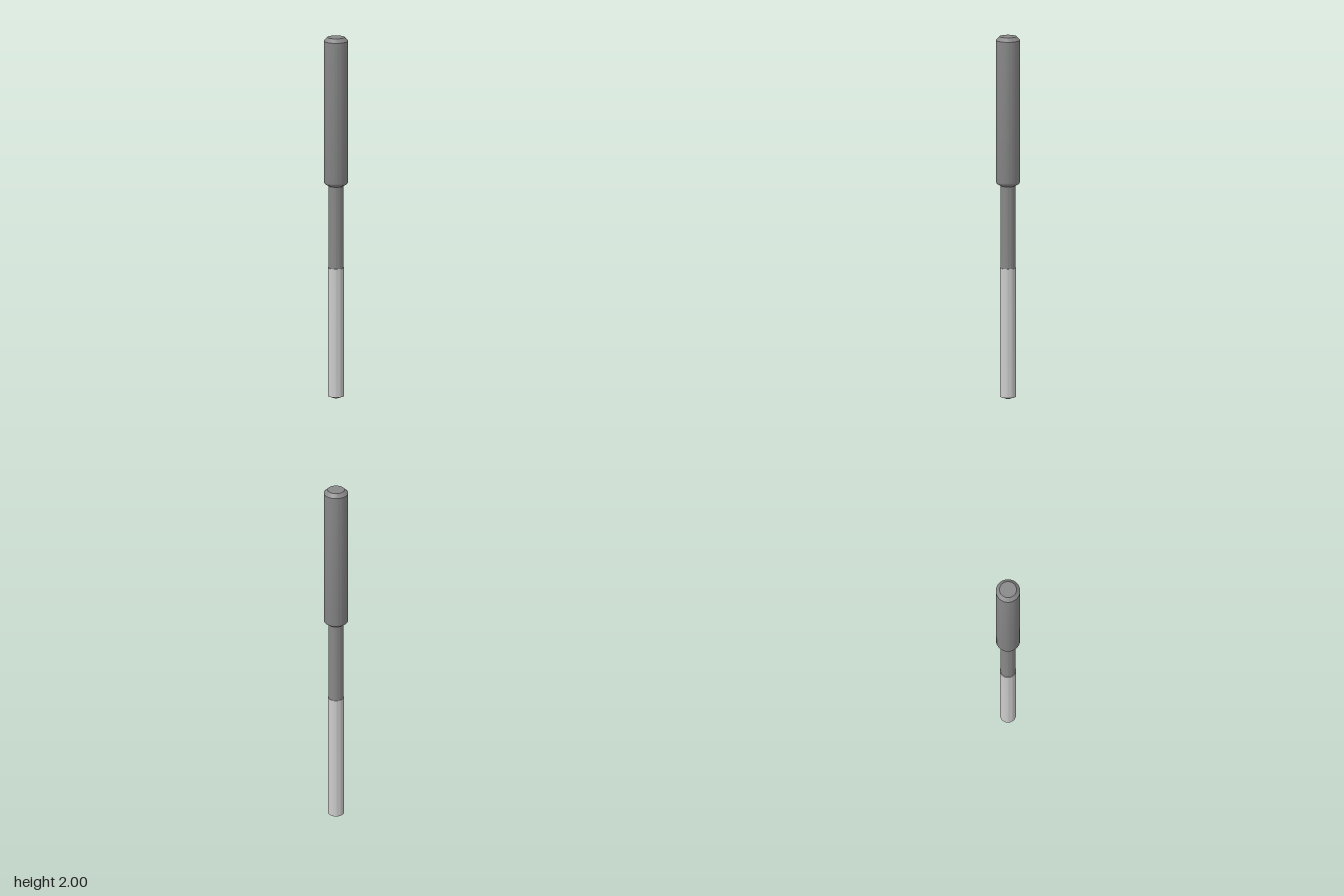
import * as THREE from 'three';
import { toCreasedNormals } from 'three/addons/utils/BufferGeometryUtils.js';

const SEGMENTS = 64;

// Turned part from a bottom-to-top list of [radius, height]
function turned(name, profile, color) {
  const points = profile.map(([r, y]) => new THREE.Vector2(r, y));
  const geometry = toCreasedNormals(new THREE.LatheGeometry(points, SEGMENTS), 0.45);
  const mesh = new THREE.Mesh(geometry, new THREE.MeshStandardMaterial({ color }));
  mesh.name = name;
  return mesh;
}

export function createModel() {
  const group = new THREE.Group();
  group.name = 'rotaryTool';
  const dark = 0x888888;
  const neckTop = 1.17;
  const bladeTop = 0.725;

  // Cutting section with a shallow conical point
  group.add(turned('cuttingSection', [
    [0, 0], [0.043, 0.015], [0.043, bladeTop], [0, bladeTop],
  ], 0xcccccc));

  // Slim neck
  group.add(turned('neck', [
    [0.04, bladeTop], [0.04, neckTop],
  ], dark));

  // Thick shank: filleted and rounded at the bottom, chamfered at the top
  group.add(turned('shank', [
    [0.04, neckTop], [0.041, 1.178], [0.045, 1.182], [0.052, 1.184],
    [0.059, 1.189], [0.064, 1.195], [0.066, 1.203],
    [0.066, 1.98], [0.046, 2], [0, 2],
  ], dark));

  return group;
}
